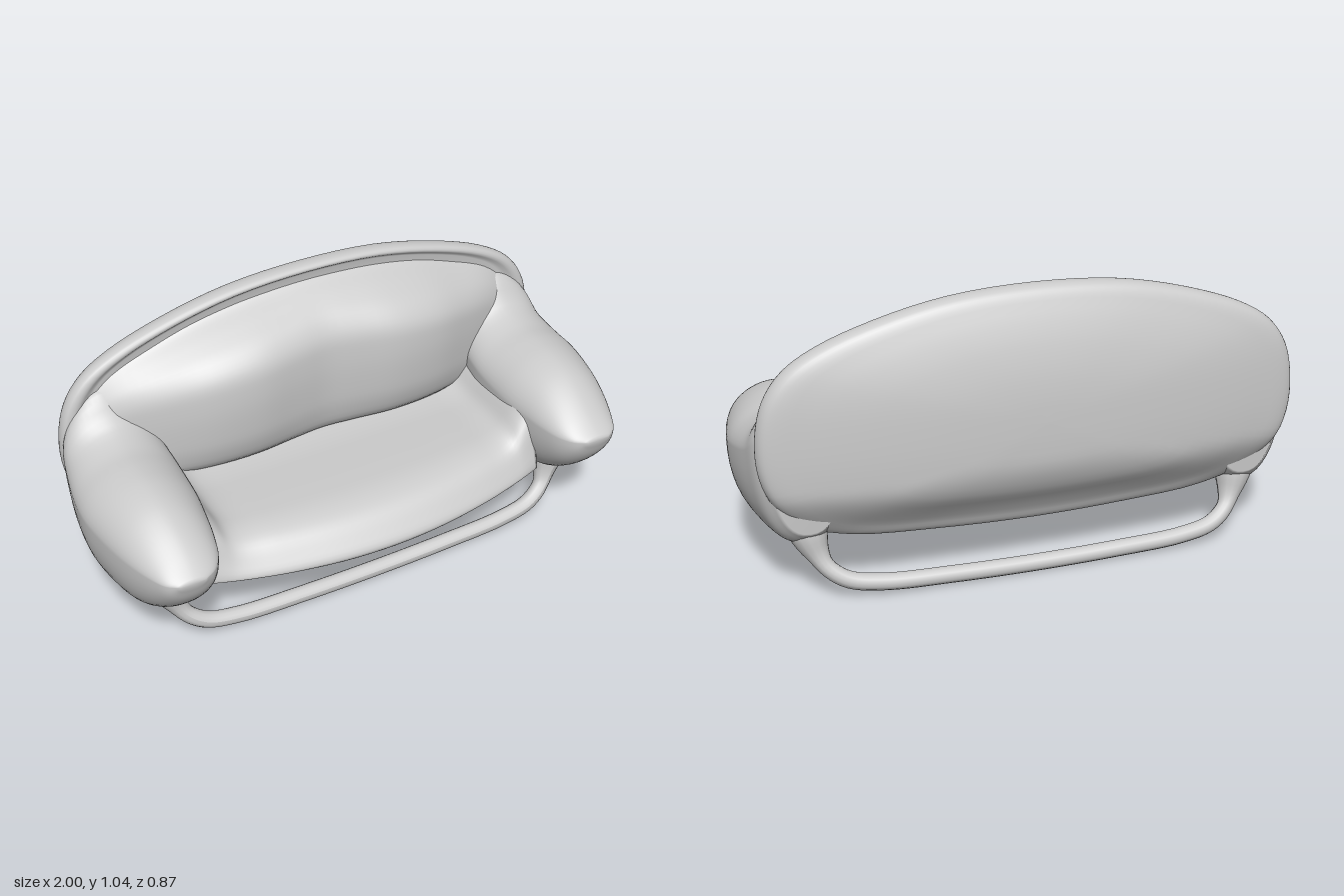
import * as THREE from 'three';

const material = new THREE.MeshStandardMaterial({ color: 0xcccccc, side: THREE.DoubleSide });
const V = (x, y, z) => new THREE.Vector3(x, y, z);

// Smooth closed skin through a series of closed cross-sections, capped at both ends.
function loft(name, sections, steps = 4) {
  const sides = sections[0].length;
  const count = (sections.length - 1) * steps + 1;
  const lines = sections[0].map((_, j) =>
    new THREE.CatmullRomCurve3(sections.map((s) => s[j])).getPoints(count - 1));
  const pts = [];
  for (let i = 0; i < count; i++) for (let j = 0; j < sides; j++) pts.push(lines[j][i]);
  const index = [];
  for (let i = 0; i < count - 1; i++) {
    for (let j = 0; j < sides; j++) {
      const k = (j + 1) % sides;
      const a = i * sides + j, b = i * sides + k, c = a + sides, d = b + sides;
      index.push(a, b, c, b, d, c);
    }
  }
  for (const end of [0, count - 1]) {
    const centre = V(0, 0, 0);
    for (let j = 0; j < sides; j++) centre.addScaledVector(pts[end * sides + j], 1 / sides);
    const c = pts.push(centre) - 1;
    for (let j = 0; j < sides; j++) {
      const a = end * sides + j, b = end * sides + (j + 1) % sides;
      if (end) index.push(a, b, c); else index.push(b, a, c);
    }
  }
  // Turn the skin outward if the sections ran the other way round.
  let volume = 0;
  for (let i = 0; i < index.length; i += 3) {
    volume += pts[index[i]].dot(V(0, 0, 0).crossVectors(pts[index[i + 1]], pts[index[i + 2]]));
  }
  if (volume < 0) index.reverse();
  const geometry = new THREE.BufferGeometry().setFromPoints(pts);
  geometry.setIndex(index);
  geometry.computeVertexNormals();
  const mesh = new THREE.Mesh(geometry, material);
  mesh.name = name;
  return mesh;
}

// Closed smooth outline through a few points.
function outline(points, n) {
  const list = new THREE.CatmullRomCurve3(points, true).getPoints(n);
  list.pop();
  return list;
}

// Domed shell of the back with its rolled rim: scaled copies of one arched outline.
function backShell() {
  const half = [[0.3, 1.027], [0.55, 0.972], [0.75, 0.9], [0.86, 0.83], [0.925, 0.74], [0.955, 0.62],
    [0.95, 0.48], [0.9, 0.36], [0.8, 0.26], [0.65, 0.21], [0.35, 0.185]];
  const loop = [V(0, 1.045, 0), ...half.map(([x, y]) => V(x, y, 0)), V(0, 0.175, 0),
    ...half.slice().reverse().map(([x, y]) => V(-x, y, 0))];
  const arch = outline(loop, 96);
  const rings = [];
  for (const s of [0.02, 0.2, 0.4, 0.6, 0.75, 0.87, 0.95]) rings.push([s, -0.34 - 0.097 * (1 - s ** 2.4)]);
  rings.push([0.985, -0.335], [1, -0.305], [0.99, -0.277], [0.96, -0.27], [0.92, -0.285], [0.5, -0.29]);
  return loft('backShell', rings.map(([s, z]) => arch.map((p) => {
    const y = 0.6 + (p.y - 0.6) * s;
    const tuck = 0.06 * THREE.MathUtils.smoothstep(0.42 - y, 0, 0.2);
    return V(p.x * s, y, z + tuck);
  })), 3);
}

// Back cushion, fullest at either side of a shallow central dip: [x, front z, top y].
function backCushion() {
  const half = [[0, -0.122, 0.99], [0.12, -0.108, 0.985], [0.28, -0.085, 0.97], [0.45, -0.1, 0.94],
    [0.6, -0.15, 0.895], [0.75, -0.21, 0.84], [0.87, -0.265, 0.75]];
  const stations = [...half.slice(1).reverse().map(([x, z, t]) => [-x, z, t]), ...half];
  return loft('backCushion', stations.map(([x, f, top]) => {
    const back = -0.3, depth = f - back, low = 0.36;
    const shape = [[0, 1], [0.12, 0.97], [0.42, 0.91], [0.75, 0.83], [0.95, 0.73], [1, 0.6],
      [0.98, 0.4], [0.9, 0.22], [0.7, 0.08], [0, 0]];
    return outline(shape.map(([d, h]) => V(x, low + h * (top - low), back + d * depth)), 40);
  }));
}

// Seat, bowed at the front and turning up into the arms.
function seat() {
  const profile = [[-0.3, 0.4], [-0.1, 0.395], [0.1, 0.398], [0.22, 0.393], [0.3, 0.367], [0.355, 0.315],
    [0.385, 0.27], [0.365, 0.24], [0.3, 0.212], [0.15, 0.177], [0, 0.165], [-0.15, 0.177], [-0.28, 0.205]];
  const half = [[0, 0], [0.2, 0], [0.4, 0], [0.52, 0.004], [0.57, 0.025], [0.61, 0.075], [0.66, 0.14]];
  const stations = [...half.slice(1).reverse().map(([x, r]) => [-x, r]), ...half];
  return loft('seat', stations.map(([x, rise]) => {
    const reach = (0.38 - 0.26 * x * x) / 0.385;
    return outline(profile.map(([z, y]) => {
      const lift = rise * THREE.MathUtils.smoothstep(y, 0.26, 0.4);
      return V(x, y + lift + 0.07 * x * x * (y < 0.25 ? 1 : 0), z > 0 ? z * reach : z);
    }), 52);
  }));
}

// Arm: [z, inner x, outer x, top y, widest y, bottom y] from front tip to the back.
function arm(side, name) {
  const stations = [[0.437, 0.75, 0.84, 0.475, 0.465, 0.45], [0.41, 0.705, 0.88, 0.497, 0.466, 0.385],
    [0.36, 0.67, 0.91, 0.535, 0.468, 0.32], [0.28, 0.645, 0.943, 0.585, 0.472, 0.253],
    [0.2, 0.63, 0.967, 0.62, 0.477, 0.21], [0.1, 0.615, 0.988, 0.64, 0.485, 0.19],
    [0, 0.61, 1, 0.646, 0.495, 0.187], [-0.1, 0.61, 0.993, 0.65, 0.512, 0.188],
    [-0.2, 0.62, 0.975, 0.685, 0.54, 0.192], [-0.27, 0.64, 0.957, 0.77, 0.58, 0.21],
    [-0.32, 0.66, 0.92, 0.79, 0.59, 0.26]];
  return loft(name, stations.map(([z, inner, outer, top, mid, low]) => {
    const ring = [];
    for (let i = 0; i < 48; i++) {
      const a = (i / 48) * Math.PI * 2;
      const c = Math.cos(a), s = Math.sin(a);
      const power = 2 / (s > 0 ? 1.8 : 2.3);
      const u = Math.sign(c) * Math.abs(c) ** power;
      const v = Math.sign(s) * Math.abs(s) ** power;
      ring.push(V(side * ((inner + outer) / 2 + u * (outer - inner) / 2), mid + v * (s > 0 ? top - mid : mid - low), z));
    }
    return ring;
  }));
}

// Sled runner: one rod that bends up at both ends and flares into the body.
function runner(name, footZ, topZ) {
  const half = [[0.79, 0.25], [0.765, 0.17], [0.735, 0.115], [0.67, 0.07], [0.55, 0.047], [0.3, 0.036]];
  const at = (x, y) => V(x, y, THREE.MathUtils.lerp(footZ, topZ, THREE.MathUtils.clamp((y - 0.04) / 0.19, 0, 1)));
  const curve = new THREE.CatmullRomCurve3([...half.map(([x, y]) => at(-x, y)), at(0, 0.031),
    ...half.slice().reverse().map(([x, y]) => at(x, y))]);
  const segments = 96, sides = 14;
  const geometry = new THREE.TubeGeometry(curve, segments, 0.03, sides);
  const position = geometry.attributes.position;
  const p = V(0, 0, 0);
  for (let i = 0; i < position.count; i++) {
    const centre = curve.getPointAt(Math.floor(i / (sides + 1)) / segments);
    const flare = 1 + 1.3 * THREE.MathUtils.smoothstep(centre.y, 0.11, 0.25);
    p.fromBufferAttribute(position, i).sub(centre).multiplyScalar(flare).add(centre);
    position.setXYZ(i, p.x, p.y, p.z);
  }
  geometry.computeVertexNormals();
  const mesh = new THREE.Mesh(geometry, material);
  mesh.name = name;
  return mesh;
}

export function createModel() {
  const sofa = new THREE.Group();
  sofa.name = 'sofa';
  sofa.add(
    backShell(), backCushion(), seat(),
    arm(1, 'leftArm'), arm(-1, 'rightArm'),
    runner('frontRunner', 0.225, 0.15), runner('backRunner', -0.33, -0.235),
  );
  return sofa;
}
